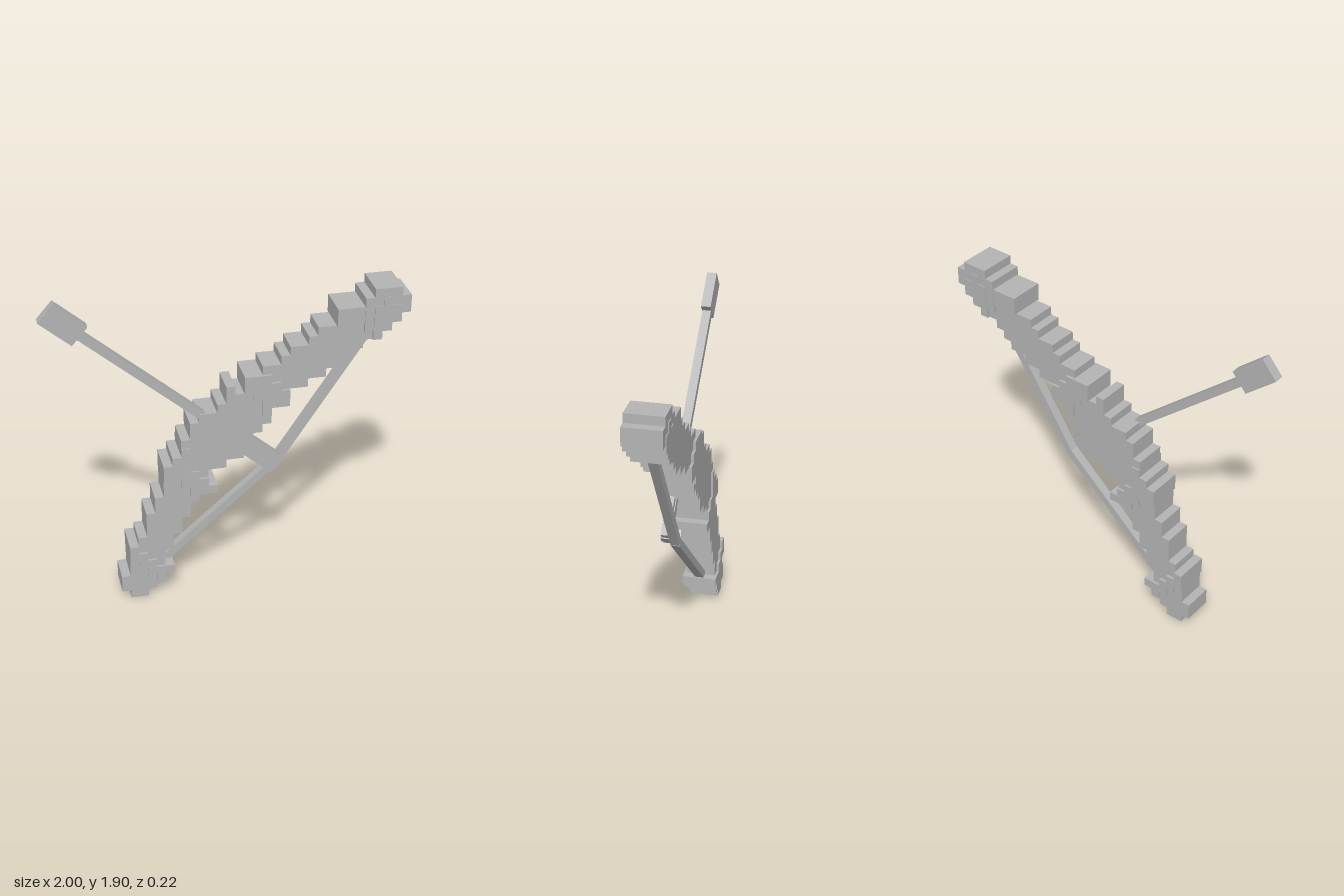
import * as THREE from 'three';

const grey = new THREE.MeshStandardMaterial({ color: 0xb4b4b4 });
grey.name = 'grey';

const STEP = 0.0505, X0 = -0.62, Y0 = 0.01;

// Stepped slab: one box per grid row, each row being [first column, end column]
function steppedPart(name, firstRow, rows, halfDepth) {
  const part = new THREE.Group();
  part.name = name;
  rows.forEach(([a, b], k) => {
    const box = new THREE.Mesh(new THREE.BoxGeometry((b - a) * STEP, STEP, halfDepth * 2), grey);
    box.name = name + 'Row';
    box.position.set(X0 + (a + b) / 2 * STEP, Y0 + (firstRow + k + 0.5) * STEP, 0);
    part.add(box);
  });
  return part;
}

// Straight square bar between two points in the front plane
function bar(name, [x1, y1], [x2, y2], width, depth, z) {
  const dx = x2 - x1, dy = y2 - y1;
  const mesh = new THREE.Mesh(new THREE.BoxGeometry(Math.hypot(dx, dy), width, depth), grey);
  mesh.name = name;
  mesh.position.set((x1 + x2) / 2, (y1 + y2) / 2, z);
  mesh.rotation.z = Math.atan2(dy, dx);
  return mesh;
}

export function createModel() {
  const model = new THREE.Group();
  model.name = 'bowAndArrow';

  // Curved bow body
  model.add(
    steppedPart('lowerTip', 0, [[1, 3], [0, 4], [0, 4], [1, 5]], 0.085),
    steppedPart('lowerLimb', 4, [
      [1, 5], [1, 5], [1, 6], [2, 6], [3, 7], [3, 7], [3, 8], [4, 8], [4, 9], [5, 9], [5, 10], [6, 10],
    ], 0.085),
    steppedPart('grip', 16, [
      [8, 12], [8, 14], [8, 14], [7, 15], [8, 16], [8, 17], [9, 17], [11, 17], [12, 17], [12, 13],
    ], 0.09),
    steppedPart('upperLimb', 23, [
      [16, 19], [15, 19], [15, 21], [15, 23], [16, 25], [18, 26], [19, 27], [21, 29], [22, 30], [24, 30],
    ], 0.085),
    steppedPart('upperTip', 31, [[28, 30], [27, 31], [27, 32], [27, 32], [28, 31]], 0.105),
  );

  // Raised bands around the bow
  model.add(
    steppedPart('lowerTipBand', 2, [[4, 5], [3, 6], [2, 4], [1, 3], [1, 2]], 0.1),
    steppedPart('lowerGripBand', 13, [[8, 11], [7, 10], [5, 9], [5, 8], [6, 8], [7, 8]], 0.1),
    steppedPart('upperGripBand', 22, [[16, 17], [16, 19], [15, 19], [14, 18], [14, 17]], 0.1),
    steppedPart('upperTipBand', 30, [[28, 29], [27, 29], [24, 28], [24, 27]], 0.1),
    steppedPart('upperTipStud', 32, [[28, 31], [28, 31], [29, 30]], 0.11),
  );

  // Drawn string
  const nock = [0.29, 0.785];
  model.add(
    bar('lowerString', [-0.555, 0.04], nock, 0.045, 0.05, 0),
    bar('upperString', nock, [0.86, 1.65], 0.045, 0.05, 0),
  );

  // Arrow, lying in front of the string
  const arrow = new THREE.Group();
  arrow.name = 'arrow';
  arrow.add(
    bar('shaft', [0.285, 0.785], [-0.8, 1.72], 0.045, 0.05, 0.058),
    bar('fletching', [0.28, 0.79], [0.105, 0.94], 0.115, 0.04, 0.058),
    bar('arrowhead', [-0.787, 1.71], [-0.957, 1.857], 0.13, 0.056, 0.058),
  );
  model.add(arrow);
  return model;
}
